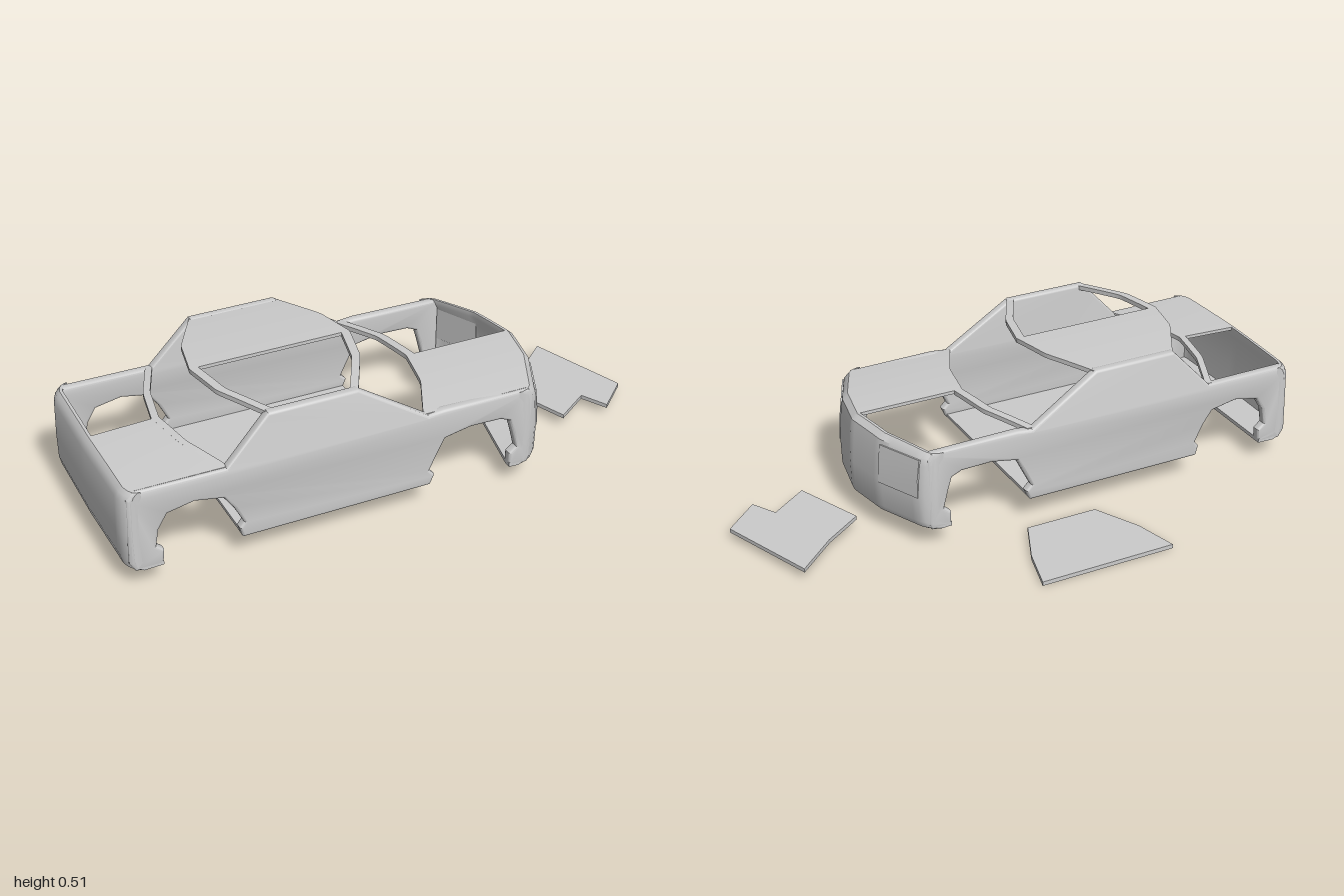
import * as THREE from 'three';
import { toCreasedNormals } from 'three/addons/utils/BufferGeometryUtils.js';

const material = new THREE.MeshStandardMaterial({ color: 0xcccccc, side: THREE.DoubleSide });
const HALF = 0.348;   // half width of the body
const CENTRE = 0.1825; // body centre line in z

function addMesh(parent, geometry, name) {
  const mesh = new THREE.Mesh(toCreasedNormals(geometry, 0.6), material);
  mesh.name = name;
  parent.add(mesh);
  return mesh;
}

// Joins closed cross-sections (arrays of [x, y]) placed along z, with end caps
function loft(zs, section) {
  const pos = [], index = [];
  const n = section(zs[0]).length;
  zs.forEach((z) => section(z).forEach(([x, y]) => pos.push(x, y, z)));
  for (let i = 0; i < zs.length - 1; i++) {
    for (let j = 0; j < n; j++) {
      const a = i * n + j, b = i * n + (j + 1) % n;
      index.push(a, b, b + n, a, b + n, a + n);
    }
  }
  const outline = section(zs[0]).map(([x, y]) => new THREE.Vector2(x, y));
  const last = (zs.length - 1) * n;
  THREE.ShapeUtils.triangulateShape(outline, []).forEach(([a, b, c]) => {
    index.push(a, c, b, last + a, last + b, last + c);
  });
  const g = new THREE.BufferGeometry();
  g.setAttribute('position', new THREE.Float32BufferAttribute(pos, 3));
  g.setIndex(index);
  return g;
}

// Piecewise linear curve over |z|, given [distance from centre line, x] knots
const curve = (knots) => (z) => {
  const d = Math.abs(z);
  for (let i = 1; i < knots.length; i++) {
    const [d0, x0] = knots[i - 1], [d1, x1] = knots[i];
    if (d <= d1) return x0 + (x1 - x0) * (d - d0) / (d1 - d0);
  }
  return knots[knots.length - 1][1];
};
const crown = (base, rise) => (z) => base + rise * (1 - (z / HALF) ** 2);
const range = (a, b, n = 16) => Array.from({ length: n + 1 }, (_, i) => a + (b - a) * i / n);

const nose = curve([[0, 0.565], [0.16, 0.535], [0.325, 0.46], [0.34, 0.445], [HALF, 0.42]]);
const tail = curve([[0, -1], [0.3, -0.995], [0.335, -0.985], [HALF, -0.965]]);
const noseFloor = curve([[0, 0.42], [0.325, 0.35], [HALF, 0.35]]);
const cowl = curve([[0, 0.14], [0.16, 0.11], [0.33, 0.03]]);
const deckFront = curve([[0, -0.74], [0.16, -0.71], [0.33, -0.64]]);
const roofFront = curve([[0, -0.07], [0.15, -0.105], [0.33, -0.2]]);
const roofRear = curve([[0, -0.63], [0.15, -0.6], [0.33, -0.5]]);
const deckY = crown(0.352, 0.016);
const roofY = crown(0.503, 0.012);

// Crowned sheet between two x curves
function sheet(parent, name, zs, xa, xb, top, thick) {
  return addMesh(parent, loft(zs, (z) => [
    [xa(z), top(z)], [xa(z), top(z) - thick], [xb(z), top(z) - thick], [xb(z), top(z)],
  ]), name);
}
const shift = (f, d) => (z) => f(z) + d;

// Side wall with wheel arches and cabin outline
function sideWall(parent, s) {
  const pts = [
    [-0.96, 0.068], [-0.87, 0.068], [-0.865, 0.12], [-0.89, 0.14], [-0.88, 0.2], [-0.85, 0.25],
    [-0.76, 0.268], [-0.665, 0.25], [-0.63, 0.2], [-0.6, 0.14], [-0.615, 0.12], [-0.605, 0.085],
    [0.055, 0.085], [0.07, 0.12], [0.05, 0.14], [0.08, 0.2], [0.105, 0.25],
    [0.2, 0.268], [0.31, 0.265], [0.345, 0.25], [0.36, 0.2], [0.375, 0.14], [0.35, 0.12], [0.35, 0.068],
    [0.42, 0.068], [0.43, 0.09], [0.43, 0.33], [0.415, 0.352], [0.1, 0.356], [0.045, 0.35],
    [-0.2, 0.507], [-0.505, 0.507], [-0.65, 0.352], [-0.955, 0.354], [-0.975, 0.33], [-0.98, 0.1],
  ];
  const g = new THREE.ExtrudeGeometry(new THREE.Shape(pts.map((p) => new THREE.Vector2(...p))), {
    depth: 0.017, bevelThickness: 0.009, bevelSize: 0.009, bevelOffset: -0.009, bevelSegments: 3,
  });
  g.translate(0, 0, s * (HALF - 0.0175) - 0.0085);
  // slight inward lean above the belt line
  const p = g.attributes.position;
  for (let i = 0; i < p.count; i++) {
    p.setZ(i, p.getZ(i) - s * 0.06 * Math.max(0, p.getY(i) - 0.3));
  }
  addMesh(parent, g, s > 0 ? 'rightSideWall' : 'leftSideWall').name = s > 0 ? 'frontSideWall' : 'backSideWall';
}

// Flat loose panel lying near the ground, outline in x and z
function loosePanel(parent, name, pts, top, thick, tilt = 0) {
  const g = new THREE.ExtrudeGeometry(new THREE.Shape(pts.map((p) => new THREE.Vector2(...p))), {
    depth: thick, bevelEnabled: false,
  });
  g.rotateX(Math.PI / 2);
  const p = g.attributes.position;
  for (let i = 0; i < p.count; i++) p.setY(i, p.getY(i) + top - tilt * (p.getX(i) - pts[0][0]));
  addMesh(parent, g, name);
}

export function createModel() {
  const model = new THREE.Group();
  model.name = 'carBody';
  const shell = new THREE.Group();
  shell.name = 'shell';
  shell.position.z = CENTRE;
  model.add(shell);

  sideWall(shell, 1);
  sideWall(shell, -1);

  // Curved front end and rear end
  const ends = [-HALF, -0.34, -0.325, ...range(-0.3, 0.3, 30), 0.325, 0.34, HALF];
  addMesh(shell, loft(ends, (z) => {
    const x = nose(z), f = noseFloor(z), y = deckY(z);
    return [
      [f, 0.068], [x - 0.035, 0.066], [x - 0.012, 0.078], [x - 0.003, 0.1], [x, 0.2], [x - 0.008, 0.31],
      [x - 0.015, y - 0.018], [x - 0.035, y], [x - 0.045, y], [x - 0.045, y - 0.02],
      [x - 0.028, 0.31], [x - 0.02, 0.2], [x - 0.025, 0.1], [f, 0.082],
    ];
  }), 'frontEnd');
  addMesh(shell, loft(ends, (z) => {
    const x = tail(z), y = crown(0.354, 0.006)(z);
    return [
      [-0.87, 0.068], [x + 0.03, 0.066], [x + 0.01, 0.078], [x + 0.002, 0.11], [x, 0.2], [x + 0.003, 0.32],
      [x + 0.012, y - 0.012], [x + 0.025, y], [x + 0.035, y], [x + 0.035, y - 0.02],
      [x + 0.023, 0.31], [x + 0.02, 0.2], [x + 0.025, 0.1], [-0.87, 0.082],
    ];
  }), 'rearEnd');

  // Headlight panels following the nose
  for (const s of [-1, 1]) {
    addMesh(shell, loft([0.168, 0.24, 0.325].map((d) => d * s), (z) => {
      const x = nose(z);
      return [[x - 0.025, 0.19], [x + 0.003, 0.19], [x + 0.001, 0.26], [x - 0.007, 0.33], [x - 0.03, 0.33]];
    }), 'headlight');
  }

  // Cabin floor
  const floor = new THREE.BoxGeometry(0.66, 0.012, 0.66);
  floor.translate(-0.275, 0.092, 0);
  addMesh(shell, floor, 'floor');

  // Bonnet: cowl strip across, one half still in place
  const across = range(-0.332, 0.332, 32);
  sheet(shell, 'cowl', across, cowl, shift(cowl, 0.03), deckY, 0.016);
  sheet(shell, 'bonnetHalf', range(0, 0.332), shift(cowl, 0.028), shift(nose, -0.04), deckY, 0.012);

  // Boot: front strip across, one half of the lid in place
  sheet(shell, 'bootStrip', across, shift(deckFront, -0.025), deckFront, deckY, 0.016);
  const bootRear = shift(tail, 0.03);
  const lidY = (x) => (x === 0 ? deckY : crown(0.354, 0.006));
  addMesh(shell, loft(range(0, 0.332), (z) => {
    const a = bootRear(z), b = deckFront(z) - 0.023, ya = lidY(1)(z), yb = lidY(0)(z);
    return [[a, ya], [a, ya - 0.012], [b, yb - 0.012], [b, yb]];
  }), 'bootLidHalf');

  // Roof: strips front and rear, one half in place
  sheet(shell, 'roofFrontStrip', across, shift(roofFront, -0.03), roofFront, roofY, 0.016);
  sheet(shell, 'roofRearStrip', across, roofRear, shift(roofRear, 0.03), roofY, 0.016);
  sheet(shell, 'roofHalf', range(-0.332, 0), shift(roofRear, 0.028), shift(roofFront, -0.028), roofY, 0.012);

  // Detached roof half and bonnet half
  loosePanel(model, 'looseRoofPanel', [
    [-0.285, -0.535], [0.205, -0.535], [0.165, -0.38], [0.095, -0.22], [-0.165, -0.22], [-0.245, -0.38],
  ], 0.02, 0.015);
  loosePanel(model, 'looseBonnetPanel', [
    [0.6, 0.06], [0.735, -0.03], [0.87, -0.15], [1, 0.2], [0.88, 0.31], [0.83, 0.22], [0.7, 0.31],
  ], 0.052, 0.014, 0.035);
  // rest the lowest panel on the ground
  model.children[1].position.y = -0.005;
  return model;
}
